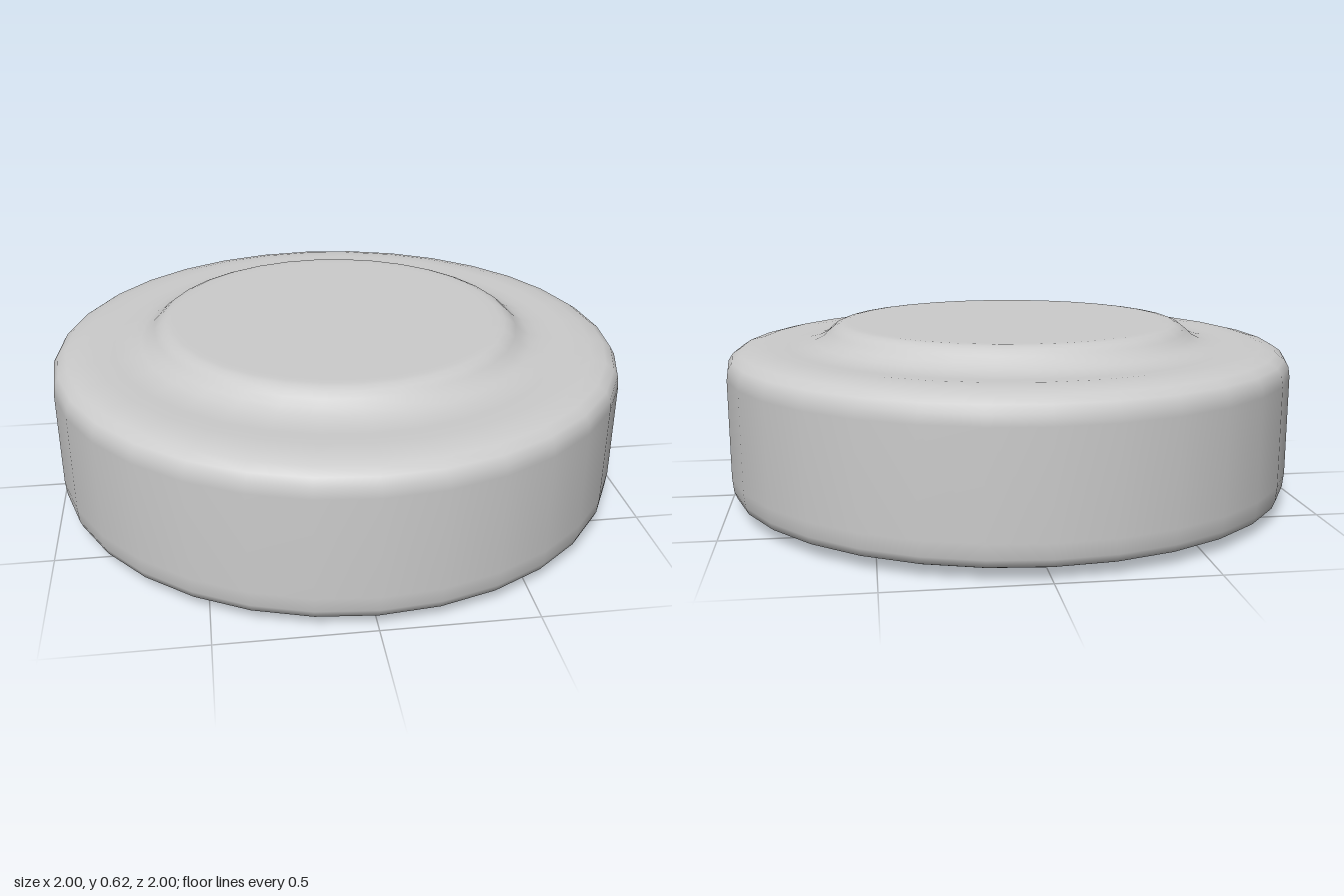
import * as THREE from 'three';

export function createModel() {
  const group = new THREE.Group();
  group.name = 'puck';
  const material = new THREE.MeshStandardMaterial({ color: 0xcccccc });

  // Half profile (radius, height), from the bottom centre to the top centre
  const profile = [
    [0, 0], [0.5, 0.014], [0.9, 0.03], [0.96, 0.035], // shallow domed underside
    [0.985, 0.045], [0.995, 0.07], [1, 0.12], // lower edge
    [1, 0.46], [0.995, 0.495], [0.98, 0.52], [0.95, 0.54], [0.9, 0.552], // rounded shoulder
    [0.84, 0.555], [0.78, 0.552], [0.73, 0.554], // ring around the raised disc
    [0.69, 0.563], [0.66, 0.578], [0.64, 0.598], [0.62, 0.614], // cove
    [0.6, 0.622], [0.58, 0.625], [0.55, 0.625], [0, 0.625], // raised disc
  ].map(([r, y]) => new THREE.Vector2(r, y));

  const body = new THREE.Mesh(new THREE.LatheGeometry(profile, 32), material);
  body.name = 'body';
  group.add(body);
  return group;
}
